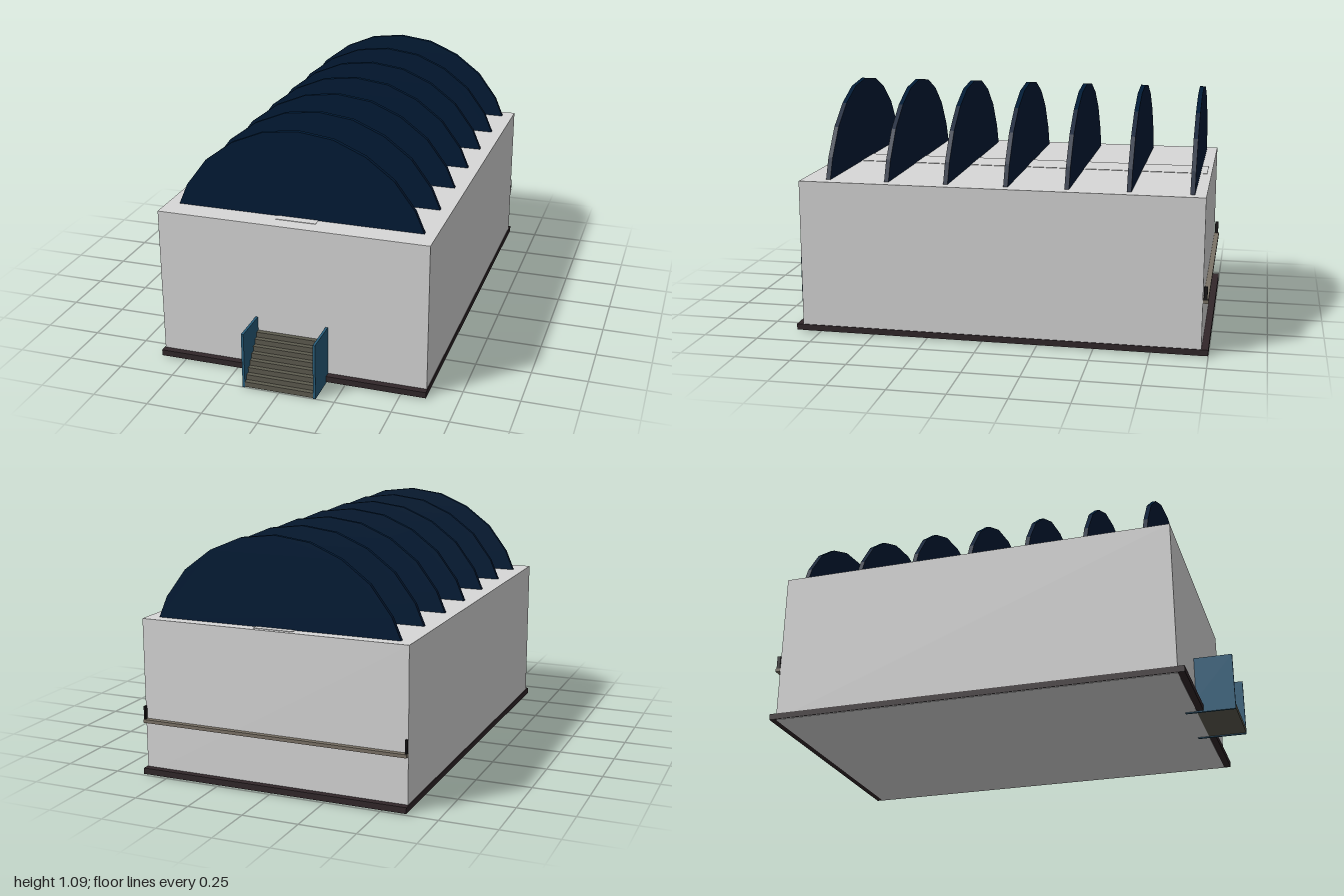
import * as THREE from 'three';

const mat = (name, color) => {
  const m = new THREE.MeshStandardMaterial({ color });
  m.name = name;
  return m;
};

export function createModel() {
  const wallGrey = mat('wall grey', 0xd7d7d7);
  const navy = mat('navy', 0x001a35);
  const blue = mat('steel blue', 0x285d7b);
  const plinthBrown = mat('dark brown', 0x31272a);
  const stairBrown = mat('olive grey', 0x5d5b4f);
  const ledgeBrown = mat('taupe', 0x7a7266);
  const black = mat('near black', 0x1a1819);

  const model = new THREE.Group();
  model.name = 'hall';

  // Box given by its minimum and maximum corners
  const box = (name, material, [x0, y0, z0], [x1, y1, z1], parent = model) => {
    const mesh = new THREE.Mesh(new THREE.BoxGeometry(x1 - x0, y1 - y0, z1 - z0), material);
    mesh.position.set((x0 + x1) / 2, (y0 + y1) / 2, (z0 + z1) / 2);
    mesh.name = name;
    parent.add(mesh);
    return mesh;
  };

  // Main hall, the plinth around its foot and a shallow roof ridge
  box('hallBody', wallGrey, [-0.609, 0.004, -0.97], [0.609, 0.7, 0.83]);
  box('plinth', plinthBrown, [-0.613, 0.006, -1], [0.613, 0.033, 0.86]);
  box('roofRidge', wallGrey, [-0.09, 0.69, -0.95], [0.09, 0.702, 0.76]);

  // Seven upright faceted roof arches
  const half = [[0.555, 0.695], [0.555, 0.7], [0.515, 0.794], [0.422, 0.918], [0.298, 1.011], [0.157, 1.071]];
  const outline = [
    ...half,
    [0, 1.091],
    ...half.map(([x, y]) => [-x, y]).reverse(),
  ].map(([x, y]) => new THREE.Vector2(x, y));
  const archGeometry = new THREE.ExtrudeGeometry(new THREE.Shape(outline), { depth: 0.02, bevelEnabled: false });
  const arches = new THREE.Group();
  arches.name = 'roofArches';
  for (let i = 0; i < 7; i++) {
    const arch = new THREE.Mesh(archGeometry, navy);
    arch.name = 'roofArch';
    arch.position.z = 0.7 - i * 0.27;
    arches.add(arch);
  }
  model.add(arches);

  // Entrance steps between two side walls that run back under the plinth
  const stairs = new THREE.Group();
  stairs.name = 'entranceStairs';
  const count = 8, rise = 0.189 / count, run = 0.17 / count;
  for (let i = 0; i < count; i++) {
    const front = 1 - i * run;
    box('step', stairBrown, [-0.156, 0.004, front - run], [0.156, 0.004 + (i + 1) * rise, front], stairs);
  }
  for (const s of [-1, 1]) {
    const wall = box('stairWall', blue, [-0.0055, 0, 0.78], [0.0055, 0.257, 1], stairs);
    wall.position.x = s * 0.161;
  }
  model.add(stairs);

  // Rear ledge with a short post at each end
  box('rearLedge', ledgeBrown, [-0.609, 0.239, -0.993], [0.609, 0.254, -0.97]);
  for (const s of [-1, 1]) {
    const post = box('rearPost', black, [-0.004, 0.25, -0.989], [0.004, 0.313, -0.973]);
    post.position.x = s * 0.605;
  }

  return model;
}
